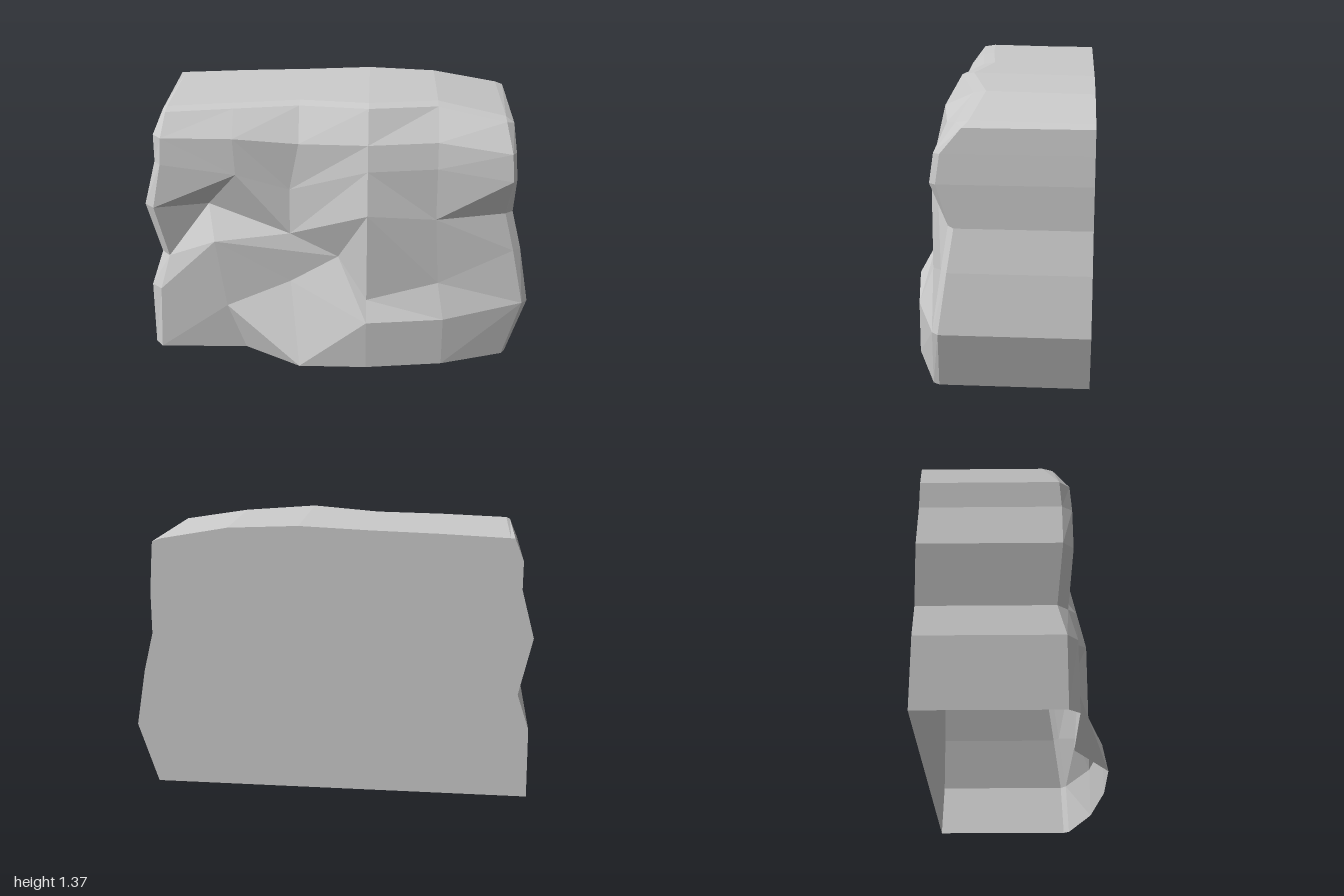
import * as THREE from 'three';

const BACK = -0.46;

// Horizontal sections of the rugged face, bottom to top, each from left to right.
const sections = [
  [[-0.96, 0, 0.28], [-0.5, 0, 0.27], [-0.2, 0, 0.45], [0.15, 0, 0.45], [0.55, 0, 0.4], [0.88, 0, 0.29]],
  [[-0.94, 0.36, 0.28], [-0.59, 0.27, 0.29], [-0.25, 0.42, 0.28], [0.15, 0.27, 0.45], [0.55, 0.27, 0.4], [0.97, 0.31, 0.28]],
  [[-0.89, 0.54, 0.24], [-0.64, 0.65, 0.29], [0, 0.57, 0.28], [0.15, 0.37, 0.38], [0.52, 0.45, 0.33], [0.91, 0.6, 0.24]],
  [[-0.95, 0.83, 0.27], [-0.68, 0.81, 0.16], [-0.25, 0.69, 0.26], [0.15, 0.85, 0.38], [0.5, 0.8, 0.3], [0.86, 0.8, 0.21]],
  [[-0.9, 1.07, 0.27], [-0.52, 1.02, 0.27], [-0.25, 0.93, 0.24], [0.15, 1.07, 0.33], [0.5, 1.07, 0.28], [0.88, 1.01, 0.29]],
  [[-0.89, 1.21, 0.26], [-0.53, 1.21, 0.26], [-0.2, 1.18, 0.24], [0.15, 1.2, 0.3], [0.5, 1.2, 0.25], [0.87, 1.15, 0.27]],
  [[-0.87, 1.32, 0.18], [-0.53, 1.335, 0.16], [-0.2, 1.345, 0.13], [0.15, 1.36, 0.21], [0.5, 1.345, 0.12], [0.84, 1.285, 0.17]],
];
// Outermost x of the two side walls at each section.
const leftX = [-1, -0.995, -0.935, -1, -0.935, -0.935, -0.89];
const rightX = [0.9, 1, 0.95, 0.9, 0.9, 0.89, 0.88];
// Direction of the facet split in each quad of the rugged face.
const splits = ['/\\///', '/\\\\\\\\', '///\\\\', '/\\/\\/', '\\\\/\\/', '/////'];

// Flat-shaded surface through equally long rows of points.
function facetedSurface(rows, splitAt = () => '/') {
  const pos = [];
  for (let r = 0; r < rows.length - 1; r++) {
    for (let c = 0; c < rows[r].length - 1; c++) {
      const a = rows[r][c], b = rows[r][c + 1];
      const d = rows[r + 1][c], e = rows[r + 1][c + 1];
      const tris = splitAt(r, c) === '/' ? [a, b, e, a, e, d] : [a, b, d, b, e, d];
      tris.forEach((p) => pos.push(...p));
    }
  }
  const geo = new THREE.BufferGeometry();
  geo.setAttribute('position', new THREE.Float32BufferAttribute(pos, 3));
  geo.computeVertexNormals();
  return geo;
}

export function createModel() {
  const group = new THREE.Group();
  group.name = 'rockBlock';
  const material = new THREE.MeshStandardMaterial({
    color: 0xcccccc, flatShading: true, side: THREE.DoubleSide,
  });
  const add = (name, geometry) => {
    const mesh = new THREE.Mesh(geometry, material);
    mesh.name = name;
    group.add(mesh);
    return mesh;
  };

  // Side walls run from the back plane to a narrow bevel beside the face.
  const leftEdge = sections.map((s, i) => [leftX[i], s[0][1], s[0][2] - 0.05]);
  const rightEdge = sections.map((s, i) => [rightX[i], s[5][1] - (i === 6 ? 0.015 : 0), s[5][2] - 0.03]);
  const toBack = ([x, y]) => [x, y, BACK];

  add('ruggedFront', facetedSurface(sections, (r, c) => splits[r][c]));
  add('leftWall', facetedSurface(sections.map((s, i) => [toBack(leftEdge[i]), leftEdge[i], s[0]])));
  add('rightWall', facetedSurface(sections.map((s, i) => [s[5], rightEdge[i], toBack(rightEdge[i])])));

  // Top: a rounded lip, then a nearly flat plane running to the back.
  const brow = [leftEdge[6], ...sections[6], rightEdge[6]];
  const last = brow.length - 1;
  const lip = brow.map(([x, y, z], i) => (i === 0 || i === last ? [x, y, z] : [x, y + 0.01, z - 0.06]));
  const topBack = lip.map(([x, y], i) => [x, i === 0 || i === last ? y : y - 0.01, BACK]);
  add('top', facetedSurface([brow, lip, topBack]));

  // Flat back, outlined by the walls and the top; the base stays open.
  const outline = [...leftEdge, ...topBack.slice(1, -1), ...[...rightEdge].reverse()];
  const back = new THREE.Shape(outline.map(([x, y]) => new THREE.Vector2(-x, y)));
  add('flatBack', new THREE.ShapeGeometry(back).rotateY(Math.PI)).position.z = BACK;

  return group;
}
